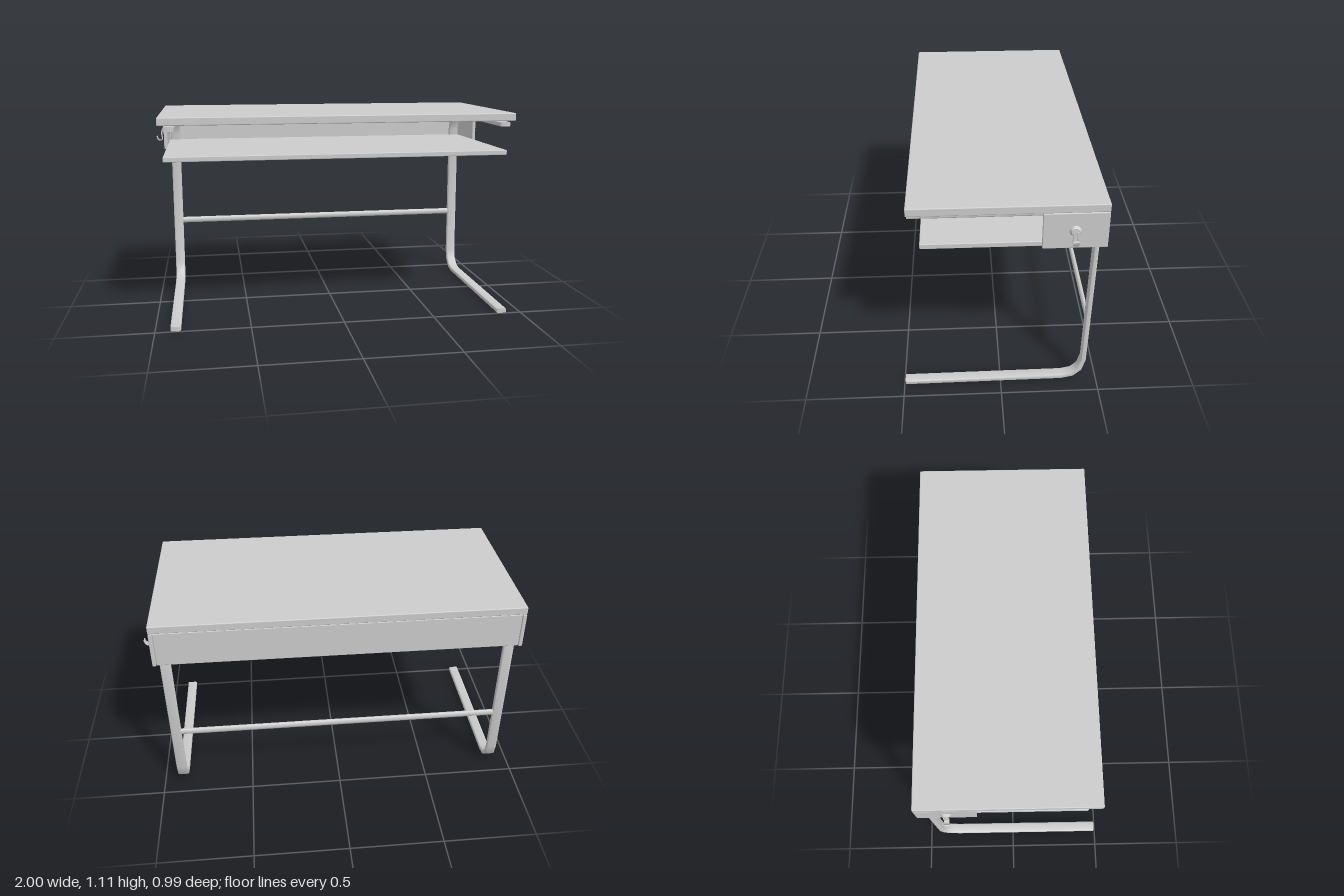
import * as THREE from 'three';
import { toCreasedNormals } from 'three/addons/utils/BufferGeometryUtils.js';
import { RoundedBoxGeometry } from 'three/addons/geometries/RoundedBoxGeometry.js';

const material = new THREE.MeshStandardMaterial({ color: 0xcccccc });

function add(parent, name, geometry) {
  const mesh = new THREE.Mesh(geometry, material);
  mesh.name = name;
  parent.add(mesh);
  return mesh;
}

// Board with softly rounded edges, given by its limits on each axis
function board(parent, name, [x0, x1], [y0, y1], [z0, z1], radius = 0.004) {
  const mesh = add(parent, name, new RoundedBoxGeometry(x1 - x0, y1 - y0, z1 - z0, 2, radius));
  mesh.position.set((x0 + x1) / 2, (y0 + y1) / 2, (z0 + z1) / 2);
  return mesh;
}

// Flat bar bent along a path in the xy plane, centred on z
function bentBar(path, thickness, width, bevel) {
  const pts = path.map(([x, y]) => new THREE.Vector2(x, y));
  const left = [], right = [];
  pts.forEach((p, i) => {
    const a = p.clone().sub(pts[Math.max(i - 1, 0)]).normalize();
    const b = pts[Math.min(i + 1, pts.length - 1)].clone().sub(p).normalize();
    const t = a.clone().add(b).normalize();
    const miter = Math.max(t.dot(i ? a : b), 0.5);
    const n = new THREE.Vector2(-t.y, t.x).multiplyScalar(thickness / 2 / miter);
    left.push(p.clone().add(n));
    right.unshift(p.clone().sub(n));
  });
  const geometry = new THREE.ExtrudeGeometry(new THREE.Shape([...left, ...right]), {
    depth: width - 2 * bevel, bevelEnabled: true, bevelSize: bevel,
    bevelThickness: bevel, bevelOffset: -bevel, bevelSegments: 3,
  });
  geometry.translate(0, 0, bevel - width / 2);
  return toCreasedNormals(geometry, 0.7);
}

export function createModel() {
  const desk = new THREE.Group();
  desk.name = 'desk';

  // Boards
  board(desk, 'tabletop', [-0.95, 0.95], [1.065, 1.107], [-0.49, 0.435], 0.005);
  board(desk, 'shelf', [-0.929, 0.929], [0.873, 0.9], [-0.464, 0.38]);
  board(desk, 'backPanel', [-0.929, 0.929], [0.873, 1.062], [-0.484, -0.464]);

  // Cantilever frame as [z, y]: foot, lower bend, upright, upper bend, top arm
  const legPath = [
    [0.495, 0.013], [-0.32, 0.019], [-0.375, 0.032], [-0.412, 0.068], [-0.43, 0.132],
    [-0.447, 0.935], [-0.432, 0.995], [-0.395, 1.033], [-0.34, 1.047], [0.432, 1.047],
  ];
  const legGeometry = bentBar(legPath, 0.025, 0.056, 0.007).rotateY(-Math.PI / 2);

  // Coat hook as [outward, y]
  const prongPath = [[0.018, 0.97], [0.02, 0.945], [0.016, 0.925]];
  const lipPath = [
    [0.015, 0.93], [0.017, 0.917], [0.025, 0.91], [0.036, 0.911], [0.044, 0.92], [0.048, 0.936],
  ];

  for (const side of [-1, 1]) {
    const label = side > 0 ? 'left' : 'right';
    add(desk, label + 'Leg', legGeometry).position.x = side * 0.893;
    const panel = board(desk, label + 'SidePanel', [-0.01, 0.01], [0.872, 1.063], [-0.49, -0.185]);
    panel.position.x = side * 0.94;

    const hook = new THREE.Group();
    hook.name = label + 'Hook';
    hook.position.set(side * 0.95, 0, -0.335);
    hook.rotation.y = side > 0 ? 0 : Math.PI;
    desk.add(hook);
    const plate = new THREE.CylinderGeometry(0.02, 0.029, 0.012, 10);
    const plateMesh = add(hook, 'hookPlate', toCreasedNormals(plate.rotateZ(-Math.PI / 2), 0.7));
    plateMesh.position.set(0.006, 0.967, 0);
    const stud = add(hook, 'hookStud', new THREE.CylinderGeometry(0.006, 0.006, 0.014, 10));
    stud.rotation.z = Math.PI / 2;
    stud.position.set(0.012, 0.967, 0);
    for (const z of [-0.01, 0.01]) {
      add(hook, 'hookProng', bentBar(prongPath, 0.006, 0.008, 0.001)).position.z = z;
    }
    add(hook, 'hookLip', bentBar(lipPath, 0.005, 0.028, 0.001));
  }

  // Oval crossbar between the uprights
  const crossbar = add(desk, 'crossbar', new THREE.CylinderGeometry(0.018, 0.018, 1.75, 20));
  crossbar.rotation.z = Math.PI / 2;
  crossbar.scale.z = 0.65;
  crossbar.position.set(0, 0.392, -0.436);

  return desk;
}
